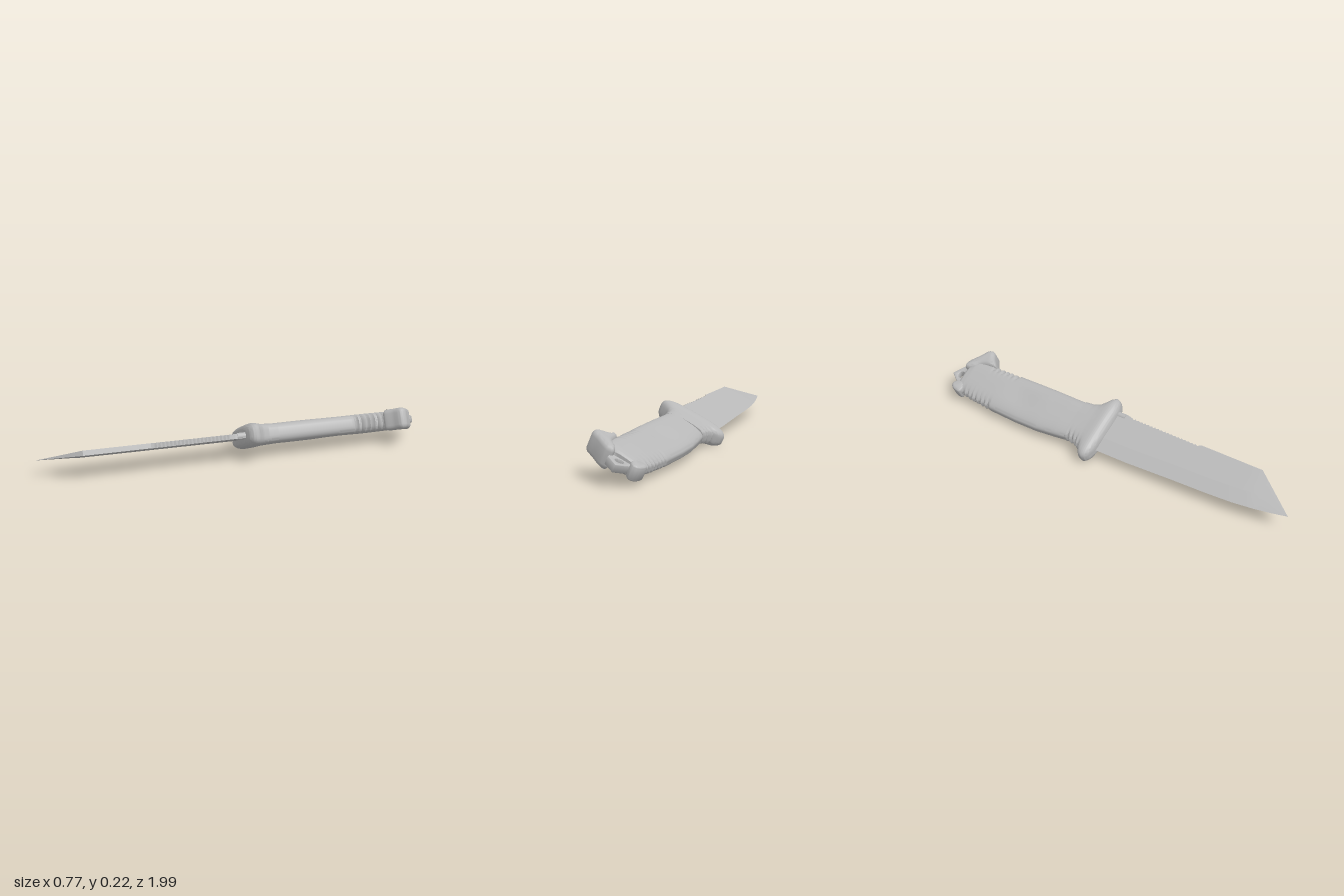
import * as THREE from 'three';
import { toCreasedNormals } from 'three/addons/utils/BufferGeometryUtils.js';

const steel = new THREE.MeshStandardMaterial({ color: 0xb8b8b8 });
steel.name = 'grey';

// Skin a list of closed rings (counter-clockwise in XY, advancing along +z), with end caps
function skin(rings, crease) {
  const n = rings[0].length, pos = [], idx = [];
  rings.forEach(r => r.forEach(p => pos.push(...p)));
  for (let i = 0; i < rings.length - 1; i++) {
    for (let j = 0; j < n; j++) {
      const a = i * n + j, b = i * n + (j + 1) % n;
      idx.push(a, b, b + n, a, b + n, a + n);
    }
  }
  [0, rings.length - 1].forEach((k, end) => {
    const c = [0, 1, 2].map(d => rings[k].reduce((s, p) => s + p[d], 0) / n);
    const ci = pos.length / 3;
    pos.push(...c);
    for (let j = 0; j < n; j++) {
      const a = k * n + j, b = k * n + (j + 1) % n;
      if (end) idx.push(ci, a, b); else idx.push(ci, b, a);
    }
  });
  const g = new THREE.BufferGeometry();
  g.setAttribute('position', new THREE.Float32BufferAttribute(pos, 3));
  g.setIndex(idx);
  return toCreasedNormals(g, crease);
}

// Interpolate rows of [v, ...values]
function sample(keys, v) {
  let i = 0;
  while (i < keys.length - 2 && v > keys[i + 1][0]) i++;
  const a = keys[i], b = keys[i + 1];
  const t = THREE.MathUtils.clamp((v - a[0]) / (b[0] - a[0]), 0, 1);
  return a.slice(1).map((x, k) => x + (b[k + 1] - x) * t);
}

// Grip grooves: [side, from, to, count, depth]
const grooves = [[1, -0.8, -0.61, 6, 0.018], [-1, -0.9, -0.68, 7, 0.012], [-1, -0.17, -0.06, 4, 0.014]];
function grooveDepth(v, c) {
  let d = 0;
  for (const [side, from, to, count, depth] of grooves) {
    if (c * side > 0 && v > from && v < to) {
      d += side * depth * Math.sin(Math.PI * count * (v - from) / (to - from)) ** 2 * Math.min(1, c * c * 1.6);
    }
  }
  return d;
}

// Rounded body from rows of [v, uMin, uMax, halfThickness]
function roundedBody(keys, steps, power, taper, hollow) {
  const rings = [], n = 40, v0 = keys[0][0], v1 = keys[keys.length - 1][0];
  const stops = new Set(keys.map(k => k[0]));
  for (let i = 0; i <= steps; i++) stops.add(v0 + (v1 - v0) * i / steps);
  for (const v of [...stops].sort((a, b) => a - b)) {
    const [u0, u1, b] = sample(keys, v), ring = [];
    for (let j = 0; j < n; j++) {
      const a = (j + 0.5) / n * Math.PI * 2, c = Math.cos(a), s = Math.sin(a);
      const x = Math.sign(c) * Math.abs(c) ** (2 / power);
      const u = (u0 + u1) / 2 + x * (u1 - u0) / 2 - grooveDepth(v, c);
      const dish = 1 - hollow * Math.exp(-(((v + 0.52) / 0.1) ** 2) - ((u + 0.06) / 0.06) ** 2);
      ring.push([u, Math.sign(s) * Math.abs(s) ** (2 / power) * b * (1 + taper * x) * dish, v]);
    }
    rings.push(ring);
  }
  return skin(rings, 0.7);
}

// Plate cut in the blade plane from an outline of [u, v] points
function plate(points, thickness, bevel, hole) {
  const shape = new THREE.Shape(points.map(p => new THREE.Vector2(...p)));
  if (hole) shape.holes.push(new THREE.Path().absarc(hole[0], hole[1], hole[2], 0, Math.PI * 2, true));
  const depth = thickness - 2 * bevel;
  const g = new THREE.ExtrudeGeometry(shape, {
    depth, bevelEnabled: true, bevelThickness: bevel, bevelSize: bevel,
    bevelOffset: -bevel, bevelSegments: 4, curveSegments: 16,
  });
  g.translate(0, 0, -depth / 2).rotateX(Math.PI / 2);
  return toCreasedNormals(g, 0.7);
}

// Smooth closed outline through a few points
function smoothOutline(points, count) {
  const curve = new THREE.CatmullRomCurve3(points.map(p => new THREE.Vector3(p[0], p[1], 0)), true);
  return curve.getPoints(count).slice(0, -1).map(p => [p.x, p.y]);
}

// Angled-tip blade with a ground edge and a finely toothed spine
function bladeGeometry() {
  const edge = [[-0.05, -0.153], [0.2, -0.148], [0.46, -0.134], [0.65, -0.126],
    [0.79, -0.117], [0.9, -0.103], [0.98, -0.089], [1.063, -0.071]];
  const spine = [[-0.05, 0.096], [0.07, 0.096], [0.1, 0.089], [0.5, 0.089], [0.51, 0.095],
    [0.849, 0.096], [1.063, -0.0705]];
  const stops = [-0.05, 0.07, 0.1];
  for (let v = 0.11; v < 0.5; v += 0.01) stops.push(v);
  stops.push(0.5, 0.51, 0.58, 0.65, 0.72, 0.79, 0.849, 0.9, 0.94, 0.98, 1.02, 1.063);
  const rings = stops.map((v, i) => {
    const [u0] = sample(edge, v);
    let [u1] = sample(spine, v);
    if (v > 0.105 && v < 0.495 && i % 2) u1 -= 0.006;
    const s = 0.013 * (v > 0.849 ? Math.max(0.02, (1.063 - v) / 0.214) : 1);
    const ub = u0 + Math.min(0.075, (u1 - u0) * 0.45);
    return [[u1, -s, v], [u1, s, v], [ub, s, v], [u0, 0, v], [ub, -s, v]];
  });
  return skin(rings, 0.15);
}

export function createModel() {
  const model = new THREE.Group();
  model.name = 'knife';
  const body = new THREE.Group();
  body.name = 'knifeBody';
  body.rotation.set(0, THREE.MathUtils.degToRad(-17.4), THREE.MathUtils.degToRad(24), 'YXZ');
  model.add(body);

  const add = (name, geometry) => {
    const mesh = new THREE.Mesh(geometry, steel);
    mesh.name = name;
    body.add(mesh);
    return mesh;
  };

  add('blade', bladeGeometry());

  // Stud where the spine enters the guard
  const stud = add('spineStud', new THREE.CylinderGeometry(0.018, 0.018, 0.09, 16));
  stud.rotation.x = Math.PI / 2;
  stud.position.set(0.082, 0, 0.015);

  add('handle', roundedBody([
    [-0.94, -0.145, 0.0, 0.034], [-0.93, -0.155, 0.02, 0.042], [-0.9, -0.162, 0.06, 0.047],
    [-0.8, -0.174, 0.061, 0.049], [-0.69, -0.181, 0.063, 0.05], [-0.5, -0.186, 0.067, 0.051],
    [-0.36, -0.183, 0.069, 0.051], [-0.24, -0.17, 0.068, 0.051], [-0.13, -0.155, 0.068, 0.05],
  ], 110, 3, 0.2, 0.14));

  add('guard', roundedBody([
    [-0.175, -0.161, 0.071, 0.052], [-0.12, -0.166, 0.077, 0.054], [-0.085, -0.182, 0.095, 0.056],
    [-0.06, -0.206, 0.125, 0.059], [-0.045, -0.222, 0.146, 0.061], [-0.025, -0.227, 0.156, 0.062],
    [-0.01, -0.22, 0.15, 0.058], [0.003, -0.202, 0.133, 0.051], [0.014, -0.165, 0.1, 0.038],
    [0.02, -0.1, 0.05, 0.02],
  ], 40, 3.4, 0.08, 0));

  // Pommel: hooked bar on one side, small lug on the other
  add('pommelBar', plate(smoothOutline([
    [0.05, -0.79], [0.095, -0.825], [0.132, -0.855], [0.128, -0.885], [0.085, -0.915],
    [0.01, -0.965], [-0.02, -0.958], [-0.012, -0.92], [0.03, -0.87],
  ], 54), 0.115, 0.025));
  add('pommelLug', plate(smoothOutline([
    [-0.168, -0.9], [-0.16, -0.955], [-0.135, -0.972], [-0.108, -0.95], [-0.1, -0.9],
  ], 30), 0.075, 0.014));

  // Lanyard loop
  add('lanyardLoop', plate([
    [-0.115, -0.9], [-0.112, -0.965], [-0.072, -1.022], [-0.012, -0.982], [0.0, -0.9],
  ], 0.04, 0.005, [-0.064, -0.965, 0.02]));

  // Set on the ground and centre
  model.updateMatrixWorld(true);
  const box = new THREE.Box3().setFromObject(model, true);
  const c = box.getCenter(new THREE.Vector3());
  body.position.set(-c.x, -box.min.y, -c.z);
  return model;
}
